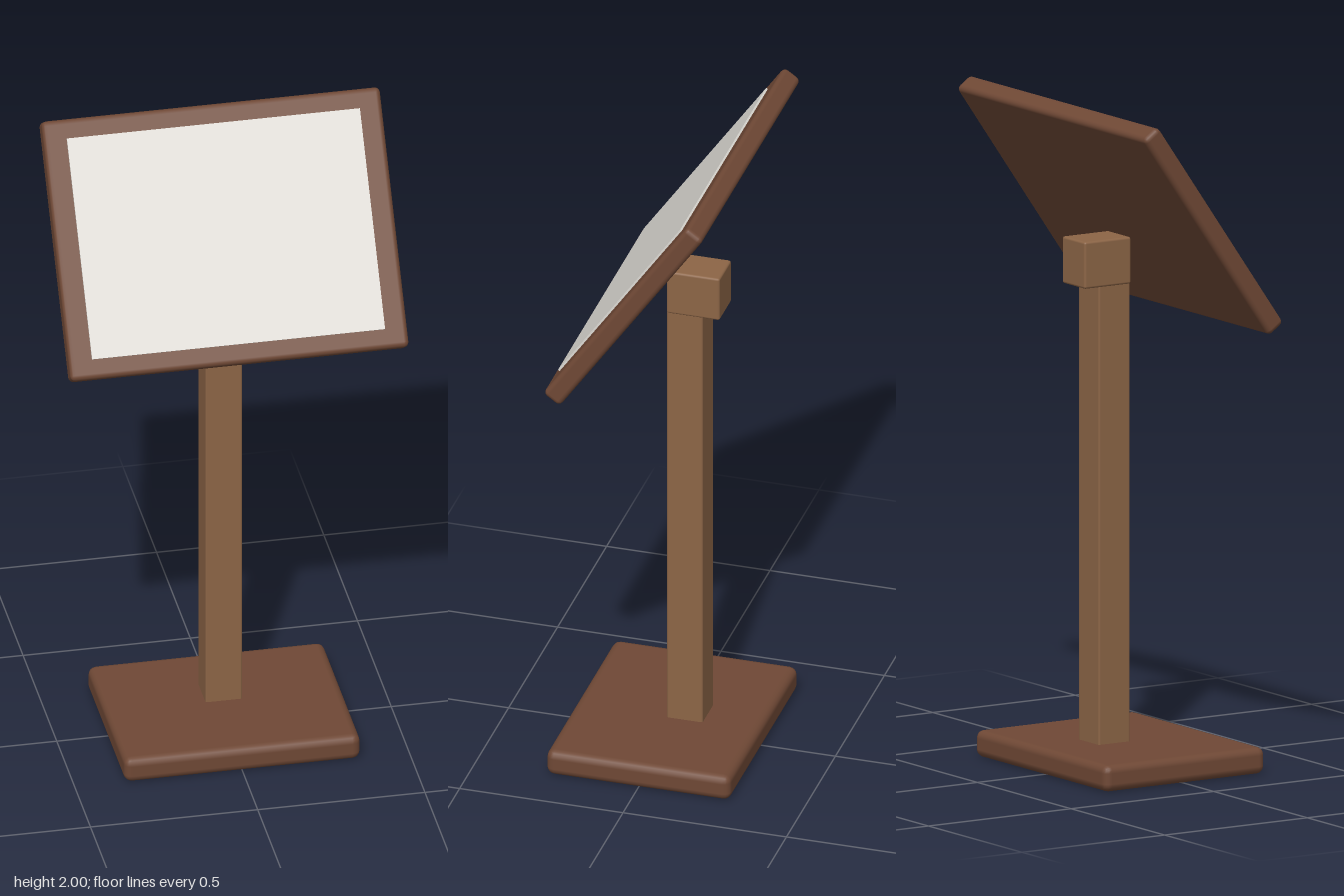
import * as THREE from 'three';
import { RoundedBoxGeometry } from 'three/addons/geometries/RoundedBoxGeometry.js';

export function createModel() {
  const model = new THREE.Group();
  model.name = 'signStand';

  const material = (name, color) => {
    const m = new THREE.MeshStandardMaterial({ color });
    m.name = name;
    return m;
  };
  const darkWood = material('darkWood', 0x6f4835);
  const lightWood = material('lightWood', 0x8c6546);
  const panelWhite = material('panelWhite', 0xdddad4);

  // Box with softly bevelled edges, added to a parent
  const block = (parent, name, mat, [w, h, d], [x, y, z], bevel) => {
    const mesh = new THREE.Mesh(new RoundedBoxGeometry(w, h, d, 2, bevel), mat);
    mesh.name = name;
    mesh.position.set(x, y, z);
    parent.add(mesh);
    return mesh;
  };

  // Foot, upright and the bracket on top of it
  block(model, 'base', darkWood, [0.706, 0.08, 0.563], [0, 0.04, 0], 0.024);
  block(model, 'post', lightWood, [0.11, 1.39, 0.11], [0, 0.765, -0.055], 0.006);
  block(model, 'bracket', lightWood, [0.122, 0.14, 0.163], [0, 1.515, -0.082], 0.007);

  // Board leaning back, with the display panel on its face
  const board = new THREE.Group();
  board.name = 'board';
  board.position.set(0, 1.67, 0);
  board.rotation.x = -THREE.MathUtils.degToRad(35);
  model.add(board);
  block(board, 'frame', darkWood, [1.012, 0.768, 0.062], [0, 0, 0], 0.015);

  const panel = new THREE.Mesh(new THREE.BoxGeometry(0.876, 0.653, 0.008), panelWhite);
  panel.name = 'displayPanel';
  panel.position.z = 0.033;
  board.add(panel);

  return model;
}
